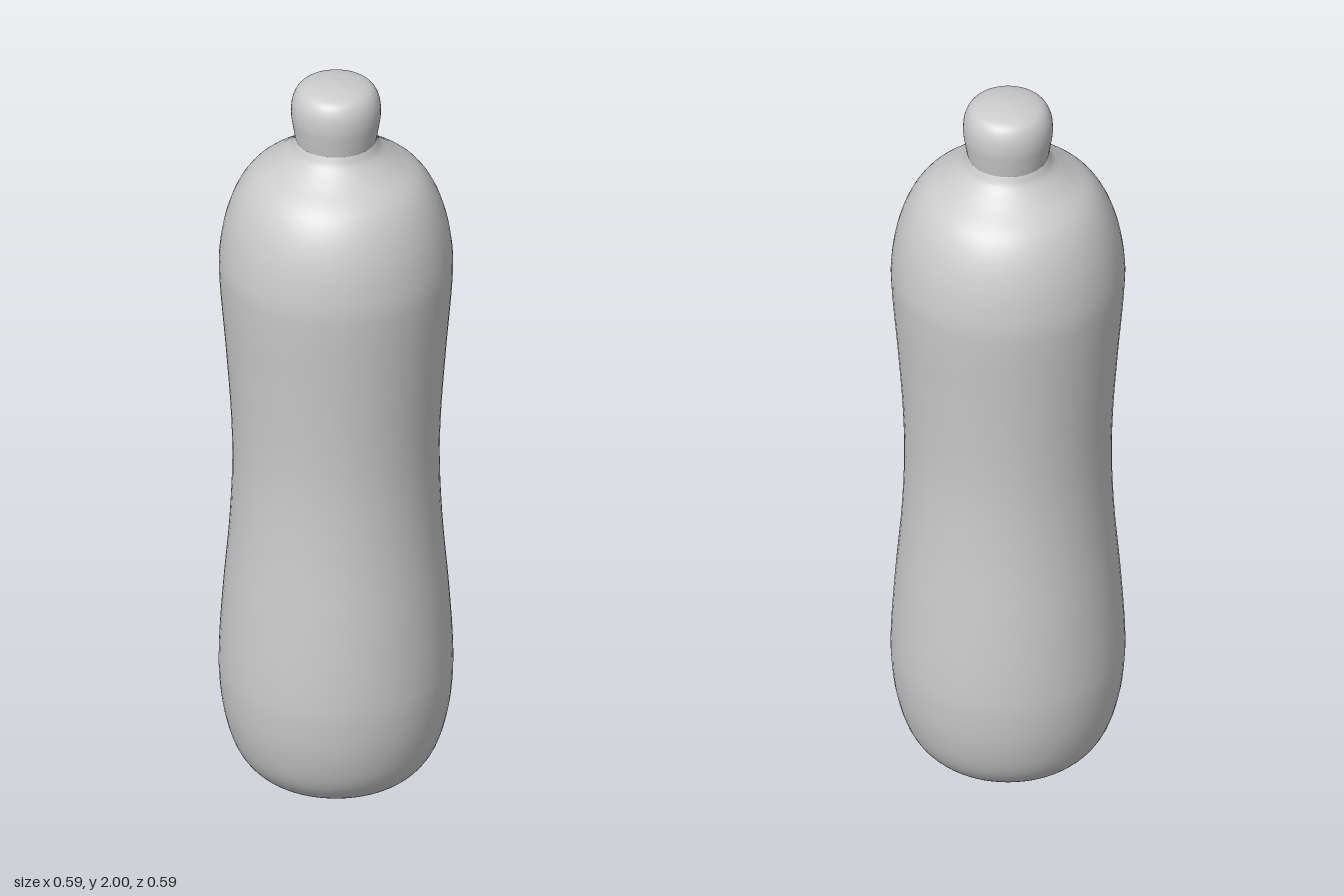
import * as THREE from 'three';

const material = new THREE.MeshStandardMaterial({ color: 0xcccccc });

// Smooth surface of revolution through [radius, height] points, listed bottom to top
function turned(name, points, steps) {
  const curve = new THREE.CatmullRomCurve3(
    points.map(([r, y]) => new THREE.Vector3(r, y, 0)), false, 'centripetal');
  const profile = curve.getPoints(steps).map(p => new THREE.Vector2(Math.max(p.x, 0), p.y));
  const mesh = new THREE.Mesh(new THREE.LatheGeometry(profile, 64), material);
  mesh.name = name;
  return mesh;
}

export function createModel() {
  const group = new THREE.Group();
  group.name = 'bottle';

  // Waisted body with rounded base and shoulders, closing in to the neck
  group.add(turned('body', [
    [0, 0], [0.08, 0.004], [0.16, 0.015], [0.21, 0.04], [0.25, 0.09],
    [0.28, 0.18], [0.294, 0.29], [0.294, 0.38], [0.284, 0.54], [0.268, 0.73],
    [0.261, 0.9], [0.264, 1.04], [0.277, 1.23], [0.293, 1.43], [0.294, 1.5],
    [0.279, 1.6], [0.25, 1.68], [0.215, 1.73], [0.155, 1.775], [0.115, 1.81], [0.102, 1.835],
  ], 100));

  // Bulging rounded cap
  group.add(turned('cap', [
    [0.102, 1.835], [0.108, 1.87], [0.113, 1.91], [0.109, 1.95], [0.093, 1.978],
    [0.06, 1.992], [0, 2],
  ], 36));

  return group;
}
